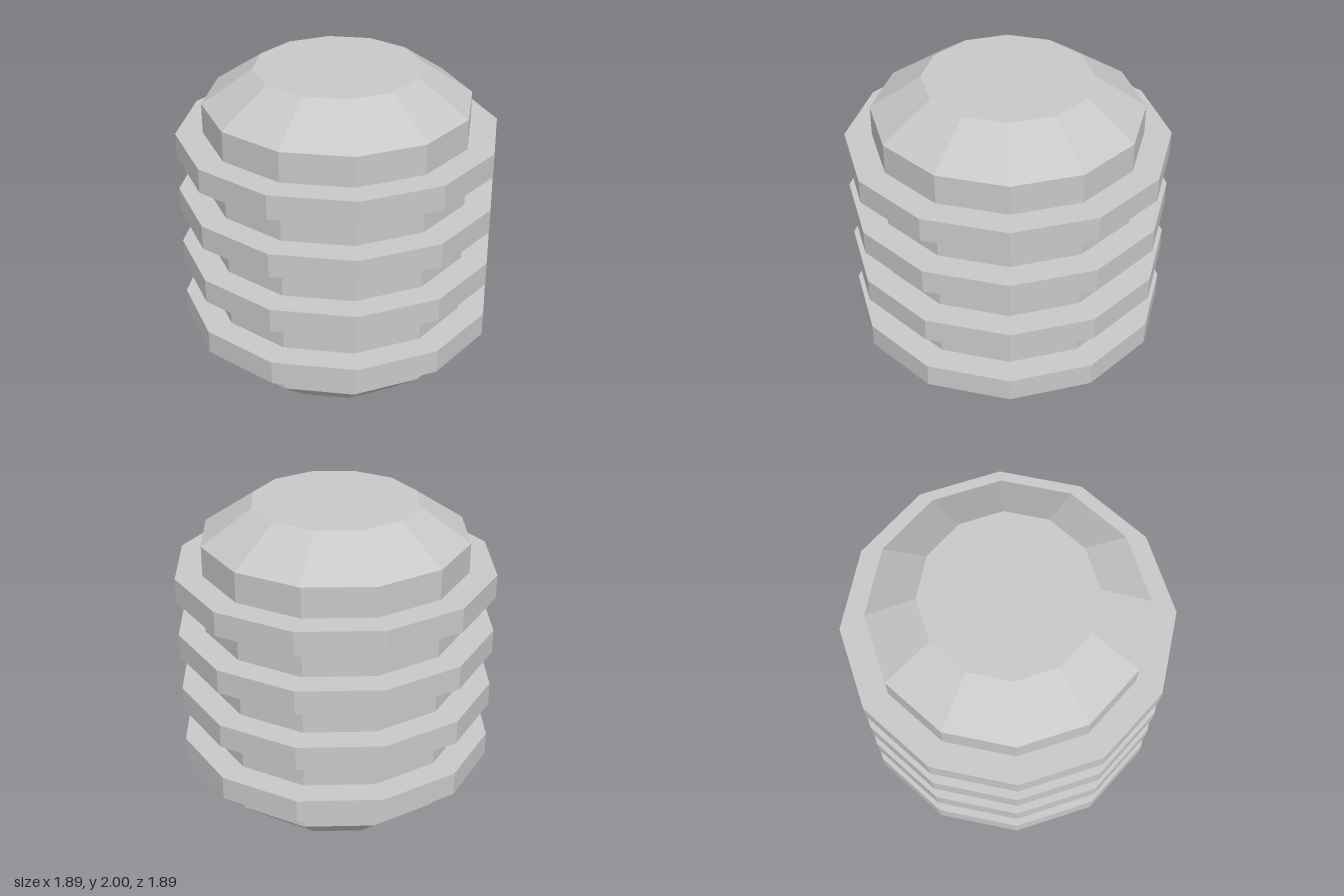
import * as THREE from 'three';

const SIDES = 12;

export function createModel() {
  const group = new THREE.Group();
  group.name = 'ribbedBarrel';
  const grey = new THREE.MeshStandardMaterial({ color: 0xc8c8c8 });
  grey.name = 'light grey';
  grey.flatShading = true;

  // twelve-sided section between two heights, flat sides facing the axes
  function section(name, y0, y1, r0, r1, open = false) {
    const geometry = new THREE.CylinderGeometry(r1, r0, y1 - y0, SIDES, 1, open, Math.PI / SIDES);
    const mesh = new THREE.Mesh(geometry, grey);
    mesh.name = name;
    mesh.position.y = (y0 + y1) / 2;
    group.add(mesh);
  }

  // barrel with chamfered ends
  section('bottomChamfer', 0, 0.213, 0.569, 0.813);
  section('body', 0.213, 1.795, 0.813, 0.813, true);
  section('topChamfer', 1.795, 2, 0.813, 0.507);

  // four evenly spaced ribs around the body
  for (let i = 0; i < 4; i++) {
    const y = 0.366 + i * 0.3655;
    section(`rib${i + 1}`, y, y + 0.148, 0.977, 0.977);
  }
  return group;
}
